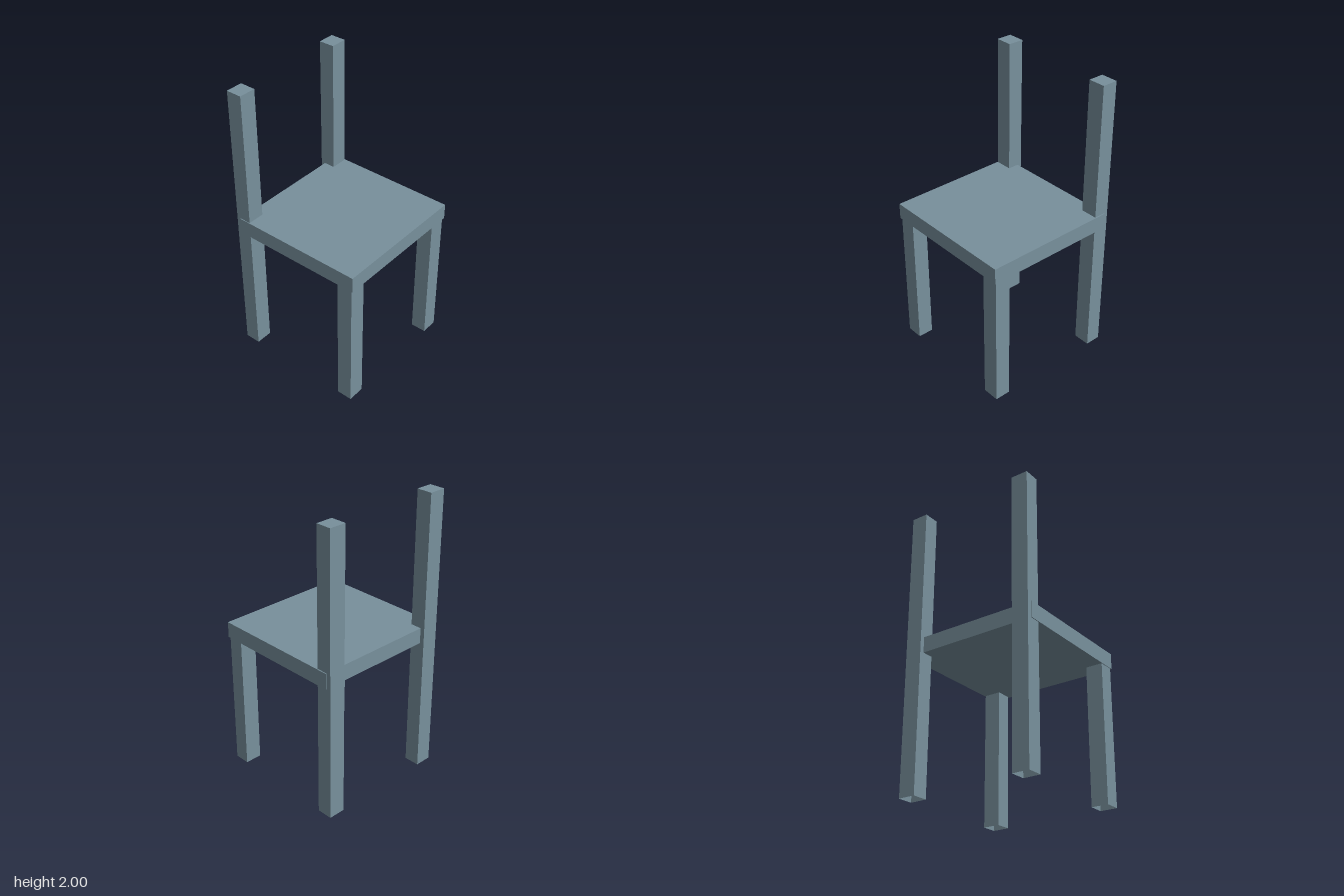
import * as THREE from 'three';

const frame = new THREE.MeshStandardMaterial({ color: 0x78909c, side: THREE.DoubleSide });
frame.name = 'blueGrey';

// Box given by its lower and upper limits on each axis
function slab(name, [x0, x1], [y0, y1], [z0, z1], openBottom = false) {
  const geometry = new THREE.BoxGeometry(x1 - x0, y1 - y0, z1 - z0);
  if (openBottom) {
    // drop the downward face (fourth of the six sides)
    const index = Array.from(geometry.index.array);
    index.splice(18, 6);
    geometry.setIndex(index);
    geometry.clearGroups();
  }
  const mesh = new THREE.Mesh(geometry, frame);
  mesh.name = name;
  mesh.position.set((x0 + x1) / 2, (y0 + y1) / 2, (z0 + z1) / 2);
  return mesh;
}

export function createModel() {
  const chair = new THREE.Group();
  chair.name = 'chair';

  // Flat square seat
  chair.add(slab('seat', [-0.488, 0.488], [0.958, 1.068], [-0.455, 0.484]));

  // Hollow legs, left and right; the back ones run up as tall posts
  for (const [side, x] of [['left', [0.362, 0.481]], ['right', [-0.483, -0.364]]]) {
    chair.add(slab(side + 'FrontLeg', x, [0, 0.958], [0.363, 0.473], true));
    chair.add(slab(side + 'BackPost', x, [0, 2], [-0.486, -0.376], true));
  }
  return chair;
}
